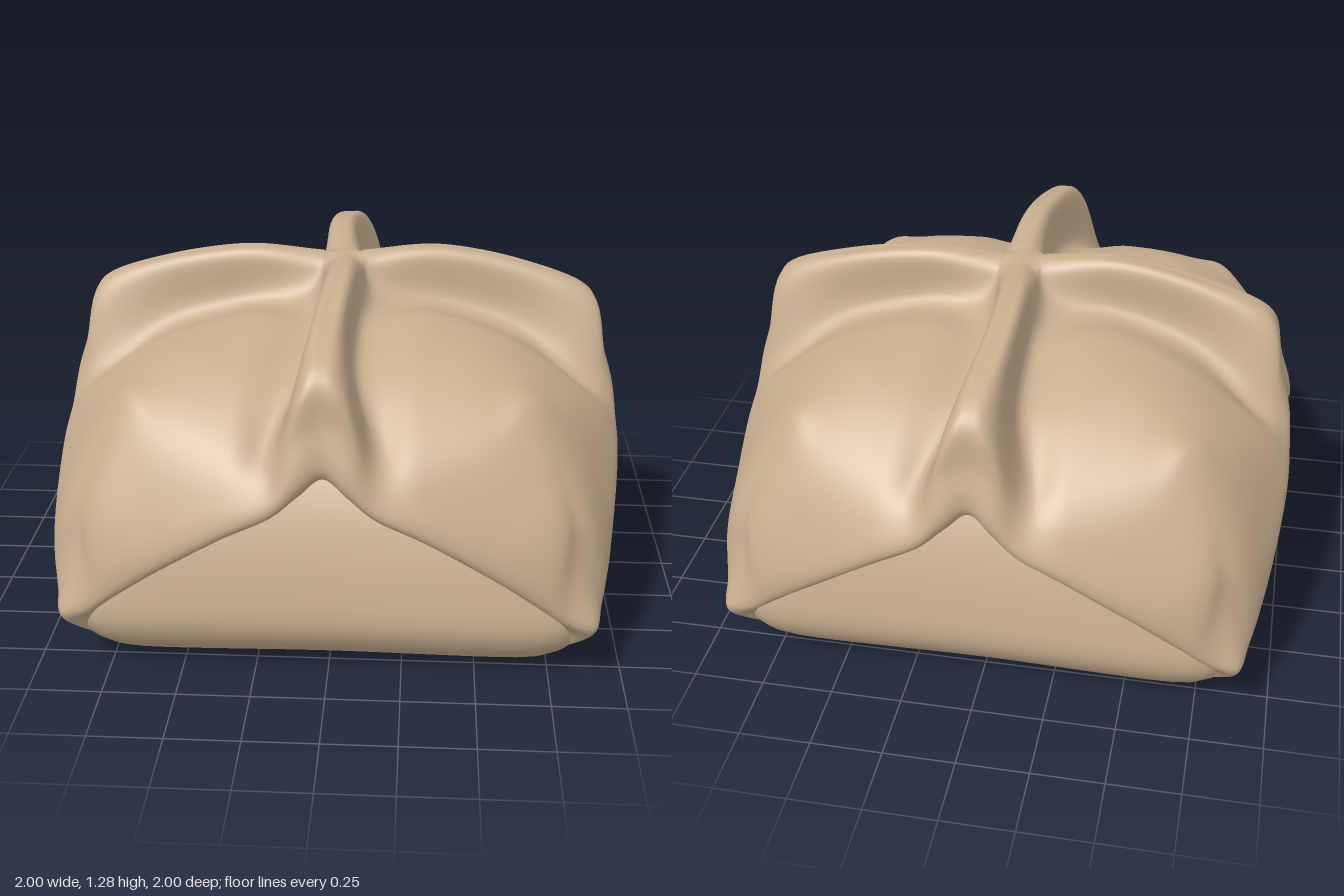
import * as THREE from 'three';
import { mergeVertices } from 'three/addons/utils/BufferGeometryUtils.js';

// One eighth of the folded wrapper: rows run from a seam to the corner diagonal,
// each row from the centre outwards and ending in a lip curled under.
const EIGHTH = [
  // seam crest
  [[0, 1.25, 0], [0, 1.25, .06], [0, 1.255, .1], [0, 1.27, .35], [0, 1.215, .65],
    [0, 1.13, .885], [0, .97, .93], [0, .79, .94], [0, .76, .66]],
  // crest shoulder
  [[.06, 1.235, .06], [.055, 1.23, .11], [.05, 1.245, .35], [.055, 1.19, .65],
    [.075, 1.08, .885], [.09, .92, .945], [.08, .735, .965], [.07, .72, .66]],
  // foot of the crest
  [[.12, 1.12, .12], [.085, 1.08, .35], [.1, 1.0, .62], [.16, .87, .82],
    [.17, .78, .945], [.17, .66, .975], [.15, .67, .67]],
  // puffed flap
  [[.3, 1.1, .3], [.3, 1.02, .6], [.3, .87, .83], [.32, .73, .945], [.33, .58, .98], [.32, .57, .74]],
  [[.52, 1.03, .52], [.55, .89, .77], [.57, .64, .915], [.54, .455, .965], [.52, .445, .78]],
  // corner tip
  [[.69, .91, .69], [.76, .6, .87], [.7, .355, .945], [.67, .33, .81]],
  [[.83, .5, .83], [.8, .28, .92], [.76, .24, .83]],
  [[.89, .22, .89], [.79, .12, .8]],
  [[.72, .03, .72]],
];

// Mirror the eighth into the full net, indices -8..8 both ways
function netPoint(i, j) {
  const a = Math.abs(i), b = Math.abs(j);
  const p = EIGHTH[Math.min(a, b)][Math.abs(a - b)];
  const x = a <= b ? p[0] : p[2];
  const z = a <= b ? p[2] : p[0];
  return new THREE.Vector3(Math.sign(i) * x, p[1], Math.sign(j) * z);
}

// Smooth surface from a grid of points
function gridGeometry(nu, nv, pointAt) {
  const positions = [], index = [];
  for (let u = 0; u <= nu; u++) {
    for (let v = 0; v <= nv; v++) positions.push(...pointAt(u, v).toArray());
  }
  for (let u = 0; u < nu; u++) {
    for (let v = 0; v < nv; v++) {
      const a = u * (nv + 1) + v, b = a + nv + 1;
      index.push(a, a + 1, b, b, a + 1, b + 1);
    }
  }
  const g = new THREE.BufferGeometry();
  g.setAttribute('position', new THREE.Float32BufferAttribute(positions, 3));
  g.setIndex(index);
  const merged = mergeVertices(g, 1e-5);
  merged.computeVertexNormals();
  return merged;
}

const spline = (points) => new THREE.CatmullRomCurve3(points, false, 'catmullrom', 0.5);

// Slight hand-made unevenness
function wobble(p) {
  const { x, y, z } = p;
  p.x += 0.013 * Math.sin(5 * z + 0.6) * y;
  p.z += 0.013 * Math.sin(4.5 * x + 2.8) * y;
  p.y += 0.006 * Math.sin(6 * x + 1) * Math.sin(5 * z) * y;
  return p;
}

function wrapperGeometry() {
  const span = 16, steps = 128;
  const rows = [];
  for (let i = -8; i <= 8; i++) {
    const row = [];
    for (let j = -8; j <= 8; j++) row.push(netPoint(i, j));
    rows.push(spline(row).getPoints(steps));
  }
  const columns = [];
  for (let v = 0; v <= steps; v++) {
    const across = [];
    for (let i = 0; i <= span; i++) across.push(rows[i][v]);
    columns.push(spline(across).getPoints(steps));
  }
  return gridGeometry(steps, steps, (u, v) => wobble(columns[v][u].clone()));
}

// Rounded square body, with sides leaning inwards under the lips
function bodyGeometry() {
  const profile = new THREE.SplineCurve([
    [0, .005], [.35, .005], [.66, .006], [.77, .04], [.845, .11], [.88, .2], [.865, .32],
    [.83, .46], [.78, .59], [.72, .7], [.65, .79], [.5, .85], [0, .88],
  ].map(([r, y]) => new THREE.Vector2(r, y))).getPoints(60);
  const sides = 128, n = 14;
  return gridGeometry(sides, 60, (u, v) => {
    const a = ((u % sides) / sides) * Math.PI * 2;
    const c = Math.cos(a), s = Math.sin(a);
    const r = profile[v].x / Math.pow(Math.abs(c) ** n + Math.abs(s) ** n, 1 / n);
    const waist = 1 - 0.015 * Math.cos(2 * a) ** 2;
    return new THREE.Vector3(c * r * waist, Math.max(0, profile[v].y), s * r * waist);
  });
}

export function createModel() {
  const model = new THREE.Group();
  model.name = 'foldedDumpling';
  const dough = new THREE.MeshStandardMaterial({ color: 0xc8ae8f, side: THREE.DoubleSide });
  dough.name = 'dough';

  const body = new THREE.Mesh(bodyGeometry(), dough);
  body.name = 'body';
  const wrapper = new THREE.Mesh(wrapperGeometry(), dough);
  wrapper.name = 'foldedFlaps';
  model.add(body, wrapper);
  return model;
}
